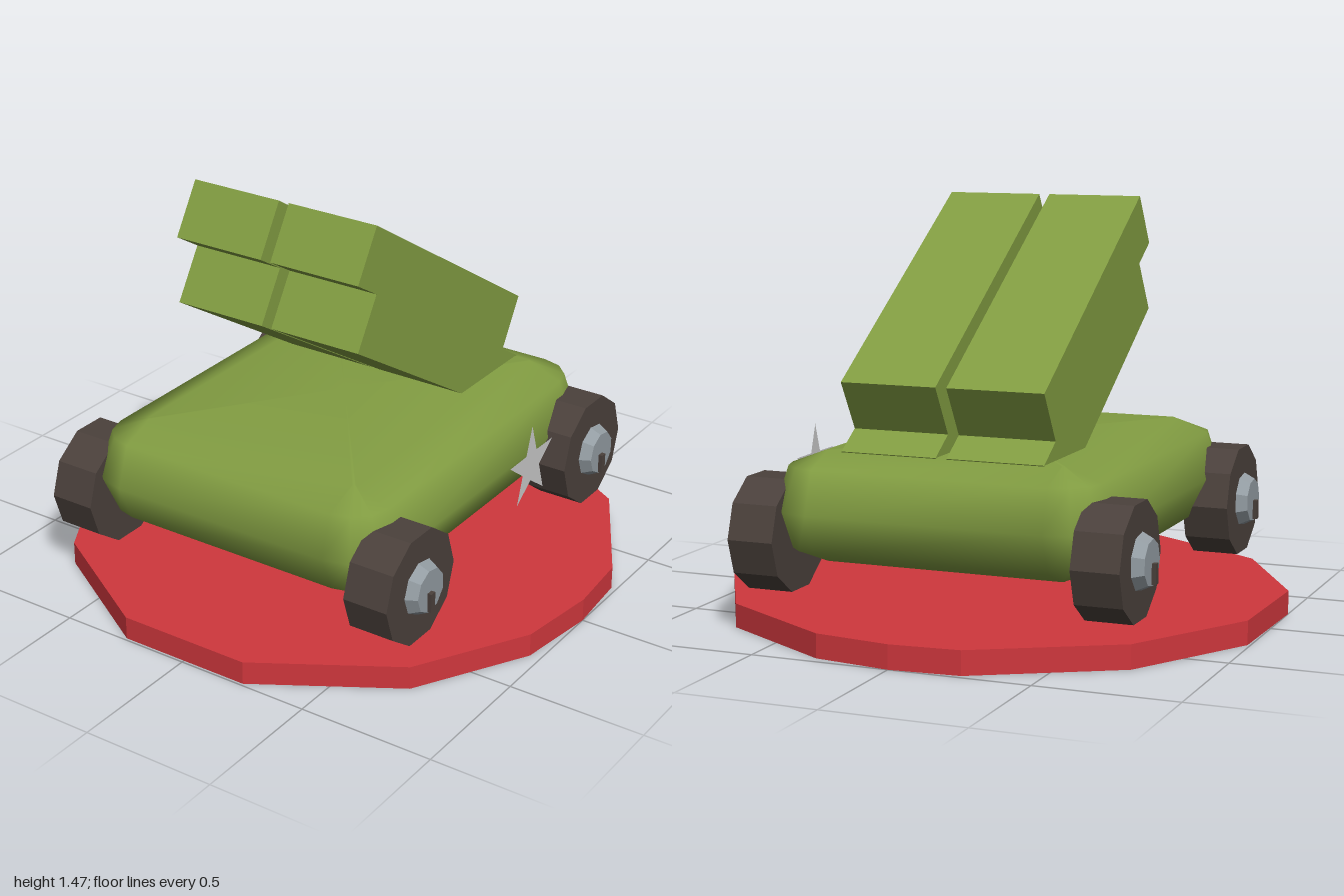
import * as THREE from 'three';

const mat = (name, color, opts = {}) => new THREE.MeshStandardMaterial({ name, color, ...opts });

export function createModel() {
  const group = new THREE.Group();
  const green = mat('olive green', 0x829d42);
  const flatGreen = green;
  const red = mat('red', 0xcf373d);
  const rubber = mat('dark brown rubber', 0x4b413c, { flatShading: true });
  const steel = mat('steel grey', 0x939ca2, { flatShading: true });
  const silver = mat('silver', 0xcacaca, { side: THREE.DoubleSide });

  const add = (name, geometry, material, parent = group) => {
    const mesh = new THREE.Mesh(geometry, material);
    mesh.name = name;
    parent.add(mesh);
    return mesh;
  };
  const shapeOf = pts => new THREE.Shape(pts.map(p => new THREE.Vector2(p[0], p[1])));

  // Base: irregular many-sided disc, outline given as x, -z
  const outline = [
    [0.25, -0.99], [0.73, -0.7], [0.96, -0.3], [1, 0], [0.98, 0.25], [0.73, 0.69], [0.28, 0.96],
    [0, 1], [-0.25, 0.98], [-0.73, 0.7], [-0.99, 0.25], [-1, -0.23], [-0.73, -0.7], [-0.25, -0.99],
  ];
  const base = new THREE.ExtrudeGeometry(shapeOf(outline), { depth: 0.085, bevelEnabled: false });
  add('baseDisc', base.rotateX(-Math.PI / 2), red);

  // Body: rounded-rectangle rings stacked upwards, [height, inset]
  const layers = [[0.24, 0.18], [0.29, 0.06], [0.43, 0], [0.58, 0.05], [0.63, 0.18]];
  const corners = [[1, 1], [1, -1], [-1, -1], [-1, 1]];
  const pos = [], idx = [], steps = 4, ring = 4 * steps;
  for (const [y, inset] of layers) {
    corners.forEach(([sx, sz], c) => {
      for (let k = 0; k < steps; k++) {
        const a = (k / (steps - 1)) * Math.PI / 2;
        const t = c % 2 ? Math.PI / 2 - a : a;
        const r = 0.19 - inset;
        pos.push(sx * (0.43 + r * Math.sin(t)) - 0.01, y, sz * (0.575 + r * Math.cos(t)) + 0.005);
      }
    });
  }
  for (let l = 0; l < layers.length - 1; l++) {
    for (let k = 0; k < ring; k++) {
      const a = l * ring + k, b = l * ring + (k + 1) % ring;
      idx.push(a, b, b + ring, a, b + ring, a + ring);
    }
  }
  const low = pos.length / 3, high = low + 1, last = (layers.length - 1) * ring;
  pos.push(-0.01, 0.24, 0, -0.01, 0.63, 0);
  for (let k = 0; k < ring; k++) {
    const n = (k + 1) % ring;
    idx.push(low, n, k, high, last + k, last + n);
  }
  const body = new THREE.BufferGeometry();
  body.setAttribute('position', new THREE.Float32BufferAttribute(pos, 3));
  body.setIndex(idx);
  body.computeVertexNormals();
  add('body', body, green);

  // Launchers: two slanted stacked tubes side by side, profile as z, y
  const profile = [
    [0.36, 1.47], [-0.59, 0.87], [-0.485, 0.695], [-0.59, 0.63], [-0.5, 0.46],
    [-0.47, 0.46], [0.47, 1.05], [0.36, 1.225], [0.47, 1.293],
  ];
  for (const [name, right] of [['rightLauncher', -0.03], ['leftLauncher', 0.363]]) {
    const g = new THREE.ExtrudeGeometry(shapeOf(profile), { depth: 0.353, bevelEnabled: false });
    add(name, g.rotateY(-Math.PI / 2), flatGreen).position.x = right;
  }

  // Wheels: low-sided tyre, tapered hub and a small valve peg
  for (const [side, s, x] of [['left', 1, 0.615], ['right', -1, -0.635]]) {
    for (const [end, z] of [['front', 0.595], ['back', -0.585]]) {
      const wheel = new THREE.Group();
      wheel.name = `${side}${end === 'front' ? 'Front' : 'Back'}Wheel`;
      wheel.position.set(x, 0.333, z);
      const disc = (r1, r2, w, n) =>
        new THREE.CylinderGeometry(r1, r2, w, n).rotateZ(-s * Math.PI / 2);
      add('tyre', disc(0.208, 0.208, 0.17, 10), rubber, wheel);
      add('hub', disc(0.08, 0.105, 0.05, 9), steel, wheel).position.x = s * 0.1;
      add('peg', new THREE.BoxGeometry(0.05, 0.07, 0.024), rubber, wheel)
        .position.set(s * 0.115, -0.037, 0.008);
      group.add(wheel);
    }
  }

  // Star: single flat plate on the left side
  const star = [];
  for (let i = 0; i < 10; i++) {
    const a = Math.PI / 2 + i * Math.PI / 5, r = i % 2 ? 0.06 : 0.154;
    star.push([r * Math.cos(a), r * Math.sin(a)]);
  }
  add('star', new THREE.ShapeGeometry(shapeOf(star)).rotateY(Math.PI / 2), silver)
    .position.set(0.71, 0.482, -0.108);

  return group;
}
